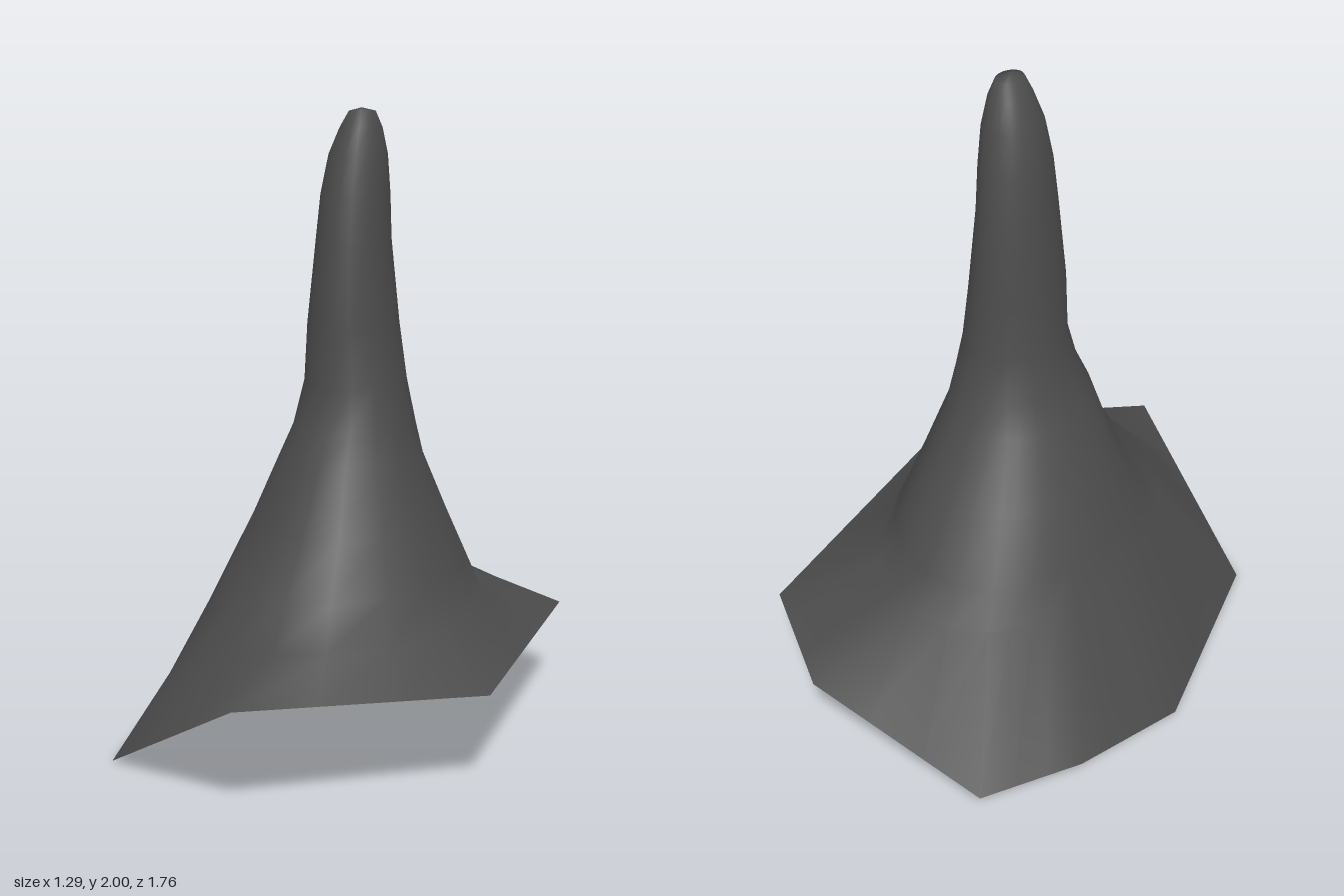
import * as THREE from 'three';

// Ragged brim corners [x, y, z], running back -> +x side -> front -> -x side
const RIM = [
  [-0.24, 0.05, -0.885], [0.34, 0.275, -0.86], [0.64, 0.30, -0.565], [0.56, 0.33, 0.495],
  [-0.10, 0.36, 0.88], [-0.62, 0.005, 0.485], [-0.65, 0.015, -0.265], [-0.48, 0.08, -0.655],
];
// Level sections of the spire: [y, xMin, xMax, zMin, zMax]
const RINGS = [
  [0.45, -0.42, 0.44, -0.64, 0.63],
  [0.57, -0.37, 0.385, -0.56, 0.51],
  [0.73, -0.29, 0.32, -0.43, 0.39],
  [0.92, -0.20, 0.25, -0.285, 0.285],
  [1.02, -0.155, 0.228, -0.235, 0.24],
  [1.16, -0.12, 0.20, -0.187, 0.195],
  [1.34, -0.108, 0.175, -0.183, 0.20],
  [1.60, -0.08, 0.15, -0.15, 0.175],
  [1.74, -0.065, 0.147, -0.125, 0.155],
  [1.86, -0.04, 0.14, -0.095, 0.13],
  [1.94, -0.005, 0.125, -0.06, 0.105],
  [1.99, 0.025, 0.105, -0.03, 0.085],
];
const STEPS = 3; // subdivisions of each brim edge

function createShell() {
  const pos = [], idx = [];
  const n = RIM.length * STEPS;

  // Brim loop, and the direction of each column of vertices
  const angles = [];
  for (let i = 0; i < n; i++) {
    const a = new THREE.Vector3(...RIM[Math.floor(i / STEPS)]);
    const b = new THREE.Vector3(...RIM[(Math.floor(i / STEPS) + 1) % RIM.length]);
    a.lerp(b, (i % STEPS) / STEPS);
    pos.push(a.x, a.y, a.z);
    angles.push(Math.atan2(a.z / 0.88, a.x / 0.64));
  }

  // Oval sections, with a shallow hollow low on the front -x flank
  for (const [y, x0, x1, z0, z1] of RINGS) {
    for (const t of angles) {
      const hollow = Math.max(0, Math.cos(t - 2.35)) ** 12 * Math.max(0, 1 - Math.abs(y - 0.65) / 0.25);
      const r = 1 - 0.12 * hollow;
      pos.push((x0 + x1) / 2 + Math.cos(t) * r * (x1 - x0) / 2, y, (z0 + z1) / 2 + Math.sin(t) * r * (z1 - z0) / 2);
    }
  }

  // Skin between neighbouring loops
  for (let j = 0; j < RINGS.length; j++) {
    for (let i = 0; i < n; i++) {
      const k = (i + 1) % n;
      const a = j * n + i, b = j * n + k, c = a + n, d = b + n;
      idx.push(a, c, b, b, c, d);
    }
  }

  // Rounded tip
  const tip = pos.length / 3, last = RINGS.length * n;
  pos.push(0.065, 2, 0.035);
  for (let i = 0; i < n; i++) idx.push(last + i, tip, last + (i + 1) % n);

  const geo = new THREE.BufferGeometry();
  geo.setAttribute('position', new THREE.Float32BufferAttribute(pos, 3));
  geo.setIndex(idx);
  geo.computeVertexNormals();
  return geo;
}

export function createModel() {
  const group = new THREE.Group();
  group.name = 'spire';
  const darkGrey = new THREE.MeshStandardMaterial({ color: 0x4c4c4c, side: THREE.DoubleSide });
  darkGrey.name = 'darkGrey';
  const shell = new THREE.Mesh(createShell(), darkGrey);
  shell.name = 'flaredShell';
  group.add(shell);
  return group;
}
